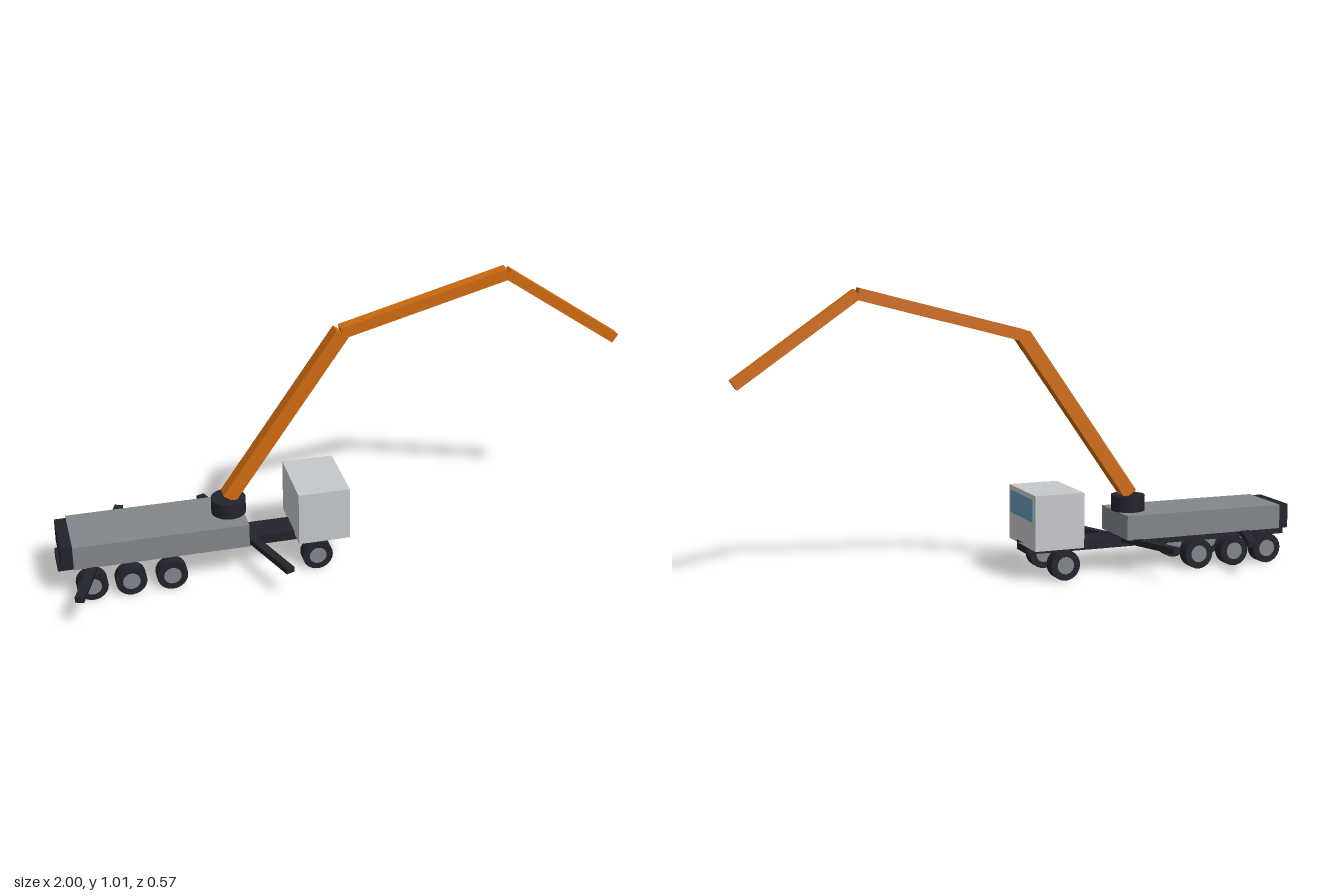
import * as THREE from 'three';

function mat(name, color) {
  const m = new THREE.MeshStandardMaterial({ color });
  m.name = name;
  return m;
}

export function createModel() {
  const truck = new THREE.Group();
  truck.name = 'concretePumpTruck';

  const dark = mat('darkSteel', 0x22232c);
  const grey = mat('bodyGrey', 0x82878d);
  const white = mat('cabLightGrey', 0xc6c9cc);
  const orange = mat('boomOrange', 0xd06c10);
  const glass = mat('windowBlue', 0x6a9ab6);

  const add = (name, geometry, material, x, y, z, parent = truck) => {
    const mesh = new THREE.Mesh(geometry, material);
    mesh.name = name;
    mesh.position.set(x, y, z);
    parent.add(mesh);
    return mesh;
  };
  // Box given by its lower and upper limits
  const box = (name, material, [x0, x1], [y0, y1], halfZ) =>
    add(name, new THREE.BoxGeometry(x1 - x0, y1 - y0, halfZ * 2), material,
      (x0 + x1) / 2, (y0 + y1) / 2, 0);

  // Chassis and bodywork
  box('chassisFrame', dark, [-1, 0], [0.085, 0.119], 0.05);
  box('cab', white, [-0.18, 0], [0.11, 0.302], 0.125);
  box('windshield', glass, [-0.002, 0.003], [0.207, 0.287], 0.107);
  box('rearBody', grey, [-0.95, -0.35], [0.119, 0.205], 0.11);
  box('rearHopper', dark, [-0.99, -0.95], [0.117, 0.203], 0.098);

  // Wheels with hubs showing on both faces
  const tyreGeo = new THREE.CylinderGeometry(0.053, 0.053, 0.045, 24).rotateX(Math.PI / 2);
  const hubGeo = new THREE.CylinderGeometry(0.03, 0.03, 0.049, 20).rotateX(Math.PI / 2);
  for (const x of [-0.893, -0.762, -0.622, -0.113]) {
    for (const side of [1, -1]) {
      const wheel = new THREE.Group();
      wheel.name = 'wheel';
      wheel.position.set(x, 0.053, side * 0.1);
      add('tyre', tyreGeo, dark, 0, 0, 0, wheel);
      add('hub', hubGeo, grey, 0, 0, 0, wheel);
      truck.add(wheel);
    }
  }

  // Outrigger beams swung in opposite directions
  const beamGeo = new THREE.BoxGeometry(0.03, 0.02, 0.6);
  for (const [x, angle] of [[-0.85, -20], [-0.35, 20]]) {
    add('outriggerBeam', beamGeo, dark, x, 0.111, 0).rotation.y = THREE.MathUtils.degToRad(angle);
  }

  // Slewing turret
  add('turret', new THREE.CylinderGeometry(0.06, 0.06, 0.055, 24), dark, -0.4, 0.2325, 0);

  // Folding boom: each section tapers in thickness from the last
  const joints = [[-0.4, 0.265], [0, 0.837], [0.577, 0.99], [0.988, 0.706]];
  const thickness = [0.05, 0.04, 0.036];
  thickness.forEach((t, i) => {
    const [ax, ay] = joints[i], [bx, by] = joints[i + 1];
    const geo = new THREE.BoxGeometry(Math.hypot(bx - ax, by - ay), t, t);
    add('boomSection' + (i + 1), geo, orange, (ax + bx) / 2, (ay + by) / 2, 0)
      .rotation.z = Math.atan2(by - ay, bx - ax);
  });

  return truck;
}
